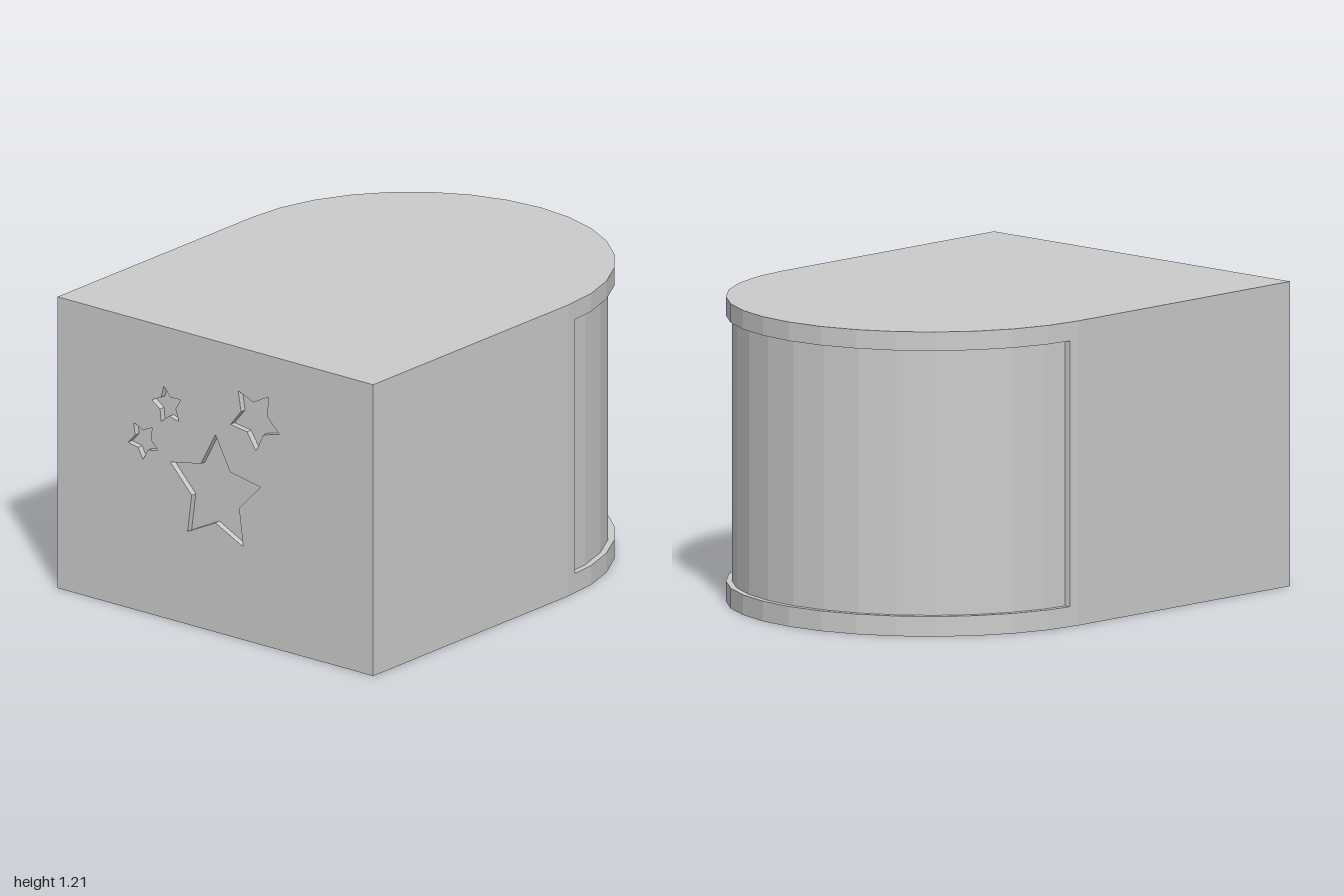
import * as THREE from 'three';

const WIDTH = 0.8, HEIGHT = 1.21, ARC_Z = -0.2;  // half width, height, centre of the rounded back
const FRONT = 1, INLAY = 0.025;                  // front plane, depth of the engravings
const LOW = 0.08, HIGH = 1.135, SIDE_Z = -0.245; // limits of the recessed back panel
const SEGMENTS = 16;

const material = new THREE.MeshStandardMaterial({ color: 0xcccccc, flatShading: true });

// Half circle around the back from +x to -x, as (x, -z) points
function backArc(radius) {
  return Array.from({ length: SEGMENTS + 1 }, (_, i) => {
    const a = (i / SEGMENTS) * Math.PI;
    return new THREE.Vector2(radius * Math.cos(a), -ARC_Z + radius * Math.sin(a));
  });
}

// Arc whose two ends are cut at the side edge of the recess
function recessArc(radius) {
  const arc = backArc(radius);
  const t = (-SIDE_Z - arc[0].y) / (arc[1].y - arc[0].y);
  const end = arc[0].clone().lerp(arc[1], t);
  return [end, ...arc.slice(1, -1), new THREE.Vector2(-end.x, end.y)];
}

function starPoints(x, y, outer, inner, degrees) {
  return Array.from({ length: 10 }, (_, i) => {
    const a = THREE.MathUtils.degToRad(degrees + i * 36);
    const r = i % 2 ? inner : outer;
    return new THREE.Vector2(x + r * Math.cos(a), y + r * Math.sin(a));
  });
}

export function createModel() {
  const group = new THREE.Group();
  const add = (name, geometry) => {
    const mesh = new THREE.Mesh(geometry, material);
    mesh.name = name;
    group.add(mesh);
    return mesh;
  };

  // Horizontal slab with the given plan, between two heights
  const layer = (name, backPoints, y0, y1) => {
    const z = FRONT - INLAY;
    const plan = new THREE.Shape([
      new THREE.Vector2(-WIDTH, -z), new THREE.Vector2(WIDTH, -z), ...backPoints,
    ]);
    const geometry = new THREE.ExtrudeGeometry(plan, { depth: y1 - y0, bevelEnabled: false });
    geometry.rotateX(-Math.PI / 2).translate(0, y0, 0);
    add(name, geometry);
  };

  // Base and top plates carry the full outline
  const outline = backArc(WIDTH);
  layer('basePlate', outline, 0, LOW);
  layer('topPlate', outline, HIGH, HIGH + (HEIGHT - HIGH));

  // Body between them, stepped inwards around the rounded back
  const outerEnds = recessArc(WIDTH);
  const panel = recessArc(WIDTH - INLAY);
  layer('recessedBody', [
    outline[0], outerEnds[0], ...panel, outerEnds[outerEnds.length - 1], outline[SEGMENTS],
  ], LOW, HIGH);

  // Front panel with engraved stars; the body behind forms their floors
  const front = new THREE.Shape([
    new THREE.Vector2(-WIDTH, 0), new THREE.Vector2(WIDTH, 0),
    new THREE.Vector2(WIDTH, HEIGHT), new THREE.Vector2(-WIDTH, HEIGHT),
  ]);
  const stars = [
    [0, 0.58, 0.24, 0.126, 90],
    [0.198, 0.928, 0.13, 0.07, 57.5],
    [-0.244, 0.884, 0.079, 0.042, 102.5],
    [-0.367, 0.712, 0.079, 0.042, -90],
  ];
  for (const star of stars) front.holes.push(new THREE.Path(starPoints(...star)));
  const frontPanel = add('starFrontPanel',
    new THREE.ExtrudeGeometry(front, { depth: INLAY, bevelEnabled: false }));
  frontPanel.position.z = FRONT - INLAY;

  return group;
}
